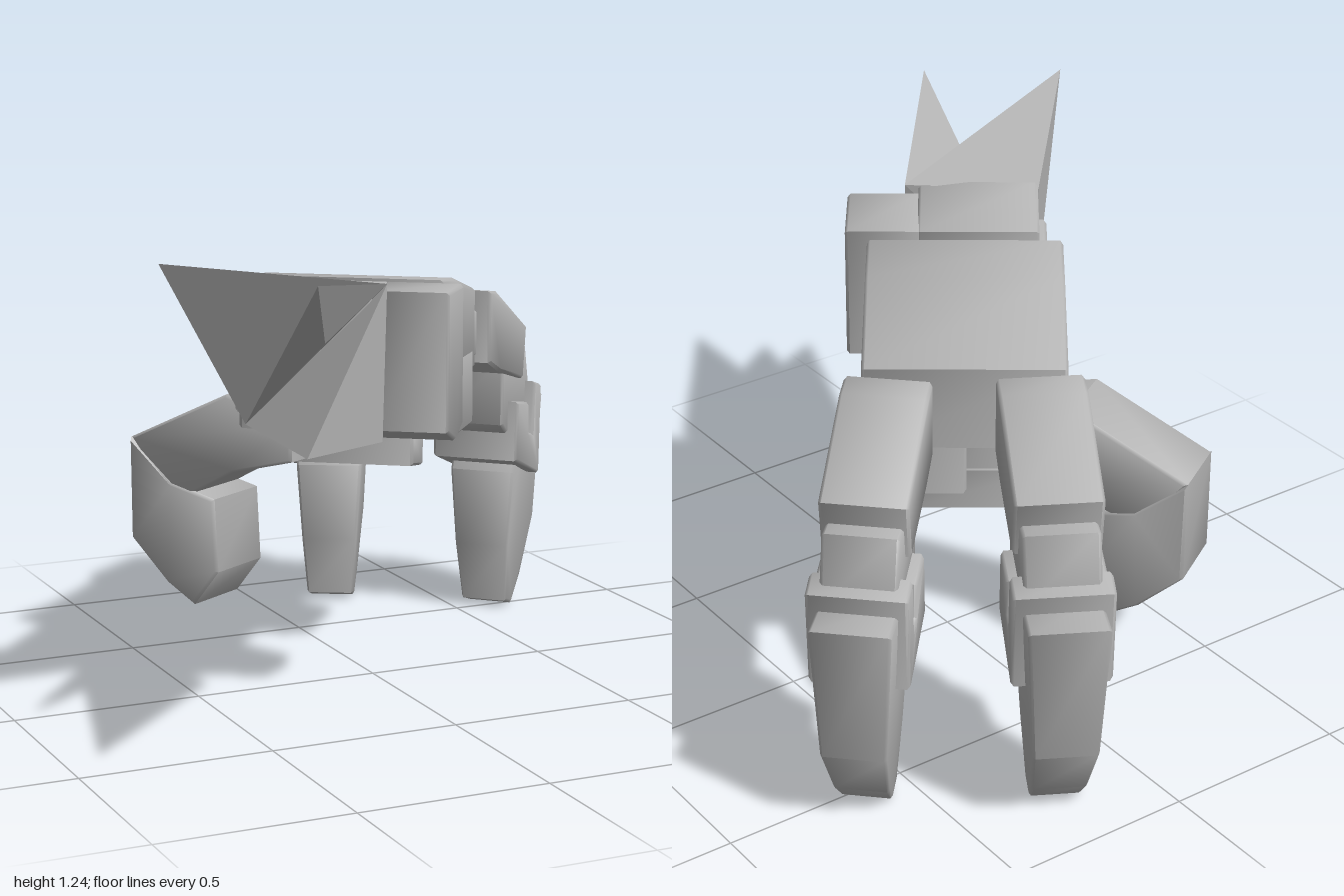
import * as THREE from 'three';
import { toCreasedNormals } from 'three/addons/utils/BufferGeometryUtils.js';
import { ConvexGeometry } from 'three/addons/geometries/ConvexGeometry.js';

const metal = new THREE.MeshStandardMaterial({ color: 0xb4b4b4 });
metal.name = 'grey metal';

// Armour block: side profile (forward, up) extruded to a width, with a fine softened bevel;
// taper narrows it towards the ground
function block(name, profile, width, side = 0, taper = 0) {
  const b = 0.008;
  const shape = new THREE.Shape(profile.map(([d, y]) => new THREE.Vector2(d, y)));
  const geo = new THREE.ExtrudeGeometry(shape, {
    depth: width - 2 * b, bevelEnabled: true, bevelThickness: b,
    bevelSize: b, bevelOffset: -b, bevelSegments: 1,
  });
  geo.translate(0, 0, b - width / 2);
  const pos = geo.attributes.position;
  for (let i = 0; i < pos.count; i++) {
    const low = Math.max(0, 1 - pos.getY(i) / 0.5);
    pos.setZ(i, pos.getZ(i) * (1 - taper * low) + side);
  }
  const mesh = new THREE.Mesh(toCreasedNormals(geo, 0.95), metal);
  mesh.name = name;
  return mesh;
}

// Group whose local x points along the heading (fx, fz)
function frame(name, x, z, fx, fz) {
  const g = new THREE.Group();
  g.name = name;
  g.position.set(x, 0, z);
  g.rotation.y = Math.atan2(-fz, fx);
  return g;
}

// Pointed shard: hull of a few corners
function spike(name, corners) {
  const mesh = new THREE.Mesh(
    new ConvexGeometry(corners.map((c) => new THREE.Vector3(...c))), metal);
  mesh.name = name;
  return mesh;
}

function finger(name, x, z, fx, fz) {
  const g = frame(name, x, z, fx, fz);
  g.add(
    block('knuckle', [[-0.09, 0.82], [-0.09, 0.95], [0.05, 0.93], [0.05, 0.8]], 0.14),
    block('upperSegment', [[0, 0.79], [0, 0.99], [0.07, 0.98], [0.36, 0.84], [0.33, 0.69], [0.1, 0.75]], 0.22),
    block('middleSegment', [[0.18, 0.58], [0.18, 0.77], [0.4, 0.78], [0.45, 0.62], [0.4, 0.52], [0.22, 0.55]], 0.19),
    block('jointGuard', [[0.22, 0.47], [0.23, 0.64], [0.34, 0.62], [0.345, 0.53], [0.385, 0.52], [0.4, 0.67], [0.47, 0.65], [0.45, 0.39]], 0.25),
    block('fingertip', [[0.29, 0.42], [0.4, 0.6], [0.565, 0.61], [0.545, 0.24], [0.45, 0.08], [0.38, 0.01], [0.32, 0.03], [0.29, 0.2]], 0.2, 0, 0.35),
  );
  return g;
}

export function createModel() {
  const model = new THREE.Group();
  model.name = 'armouredHand';

  // Palm and wrist, all in the heading of the hand
  const hand = frame('hand', 0, 0, 0.58, -0.81);
  hand.add(
    block('palm', [[-0.14, 0.87], [-0.14, 1.1], [0.04, 1.08], [0.39, 1.0], [0.39, 0.78], [0.1, 0.82]], 0.51, -0.045),
    block('palmPad', [[0.076, 0.65], [0.07, 0.86], [0.36, 0.84], [0.36, 0.63]], 0.26, 0.08),
    block('thumbMount', [[0.1, 0.56], [0.1, 0.64], [0.26, 0.64], [0.26, 0.53]], 0.34, -0.08),
    block('palmCore', [[0.11, 0.6], [0.11, 0.86], [0.25, 0.84], [0.25, 0.6]], 0.24, -0.1),
    block('wristJoint', [[-0.24, 0.78], [-0.24, 1.05], [-0.1, 1.04], [-0.1, 0.8]], 0.25, -0.06),
    block('upperCuff', [[-0.44, 0.96], [-0.44, 1.13], [-0.19, 1.1], [-0.19, 0.96]], 0.32, -0.08),
    block('middleCuff', [[-0.44, 0.8], [-0.44, 1.02], [-0.2, 1.0], [-0.2, 0.79]], 0.37, -0.08),
    block('lowerCuff', [[-0.44, 0.76], [-0.44, 0.85], [-0.2, 0.82], [-0.2, 0.71]], 0.35, -0.08),
    block('wristSidePlate', [[-0.41, 0.76], [-0.41, 1.11], [-0.19, 1.1], [-0.19, 0.74], [-0.3, 0.72]], 0.2, 0.17),
  );
  model.add(hand);

  // Two fingers and a thumb
  model.add(finger('innerFinger', 0.05, -0.465, 0.485, -0.875));
  model.add(finger('outerFinger', 0.36, -0.26, 0.695, -0.72));
  const thumb = frame('thumb', -0.195, -0.18, -0.53, -0.85);
  thumb.add(
    block('thumbBase', [[-0.11, 0.6], [-0.11, 0.7], [0.1, 0.76], [0.42, 0.61], [0.28, 0.44], [0.08, 0.55]], 0.2),
    block('thumbTip', [[0.42, 0.61], [0.42, 0.33], [0.3, 0.22], [0.21, 0.17], [0.13, 0.27], [0.14, 0.47], [0.28, 0.5]], 0.21),
  );
  model.add(thumb);

  // Jagged shards growing from the corners of the cuff
  const outerTop = [-0.15, 1.13, 0.41];
  const outerLow = [-0.19, 0.75, 0.47];
  const innerTop = [-0.44, 1.12, 0.2];
  const innerLow = [-0.45, 0.77, 0.22];
  model.add(
    spike('lowerSpike', [outerTop, outerLow, innerLow, [-0.62, 0.85, 1.0]]),
    spike('rightSpike', [outerTop, innerTop, innerLow, [-0.815, 1.245, 0.6]]),
    spike('upperSpike', [outerTop, [-0.4, 1.03, 0.6], innerLow, [-0.54, 1.215, 0.88]]),
  );
  return model;
}
